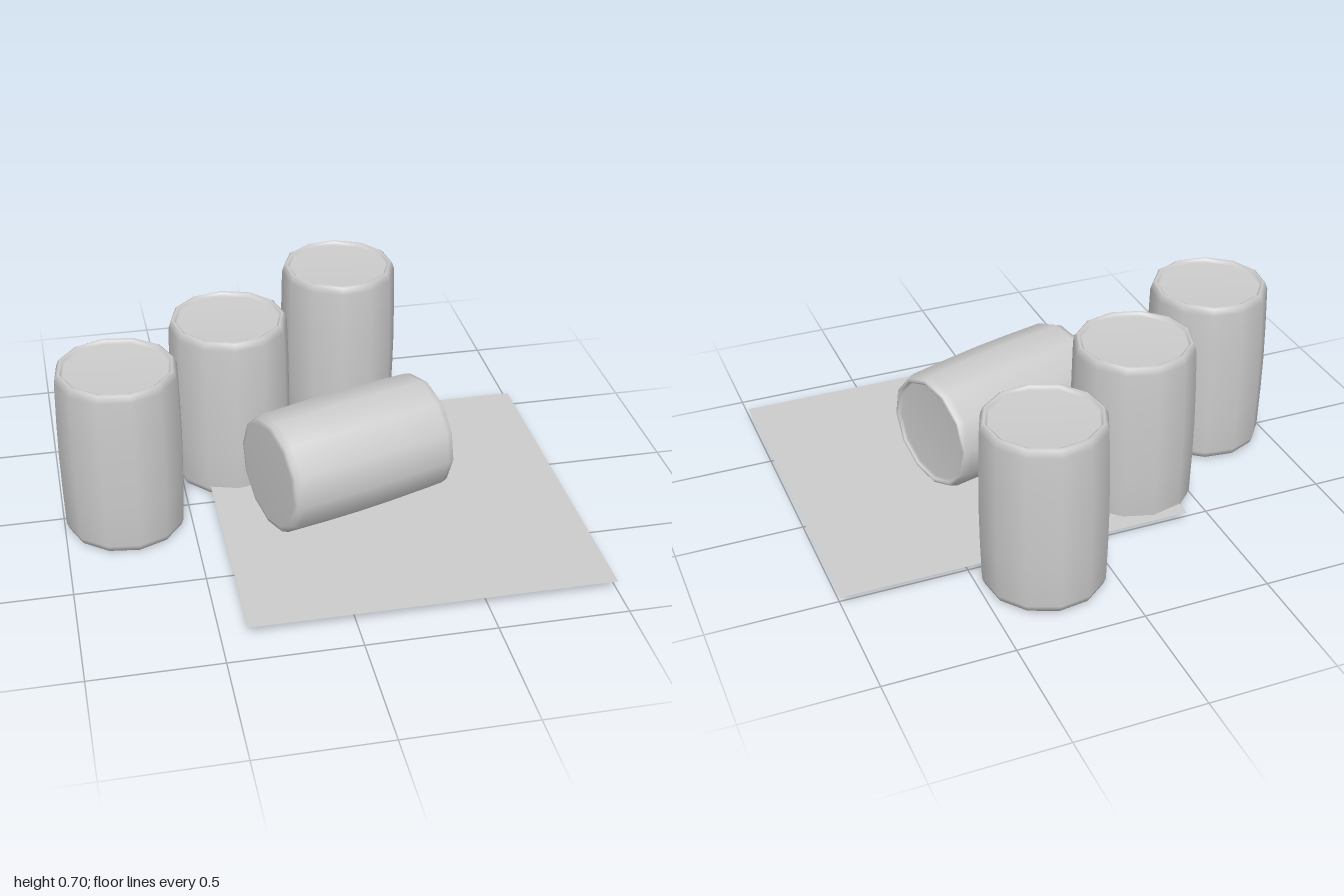
import * as THREE from 'three';

export function createModel() {
  const model = new THREE.Group();
  const grey = new THREE.MeshStandardMaterial({ color: 0xcccccc });
  const H = 0.705;

  // Twelve-sided barrel: rounded base, slight bulge, raised lip round a sunken lid
  const profile = [
    [0, 0], [0.205, 0], [0.227, 0.006], [0.237, 0.032],
    [0.242, 0.2], [0.244, 0.35], [0.242, 0.5], [0.237, 0.673],
    [0.228, 0.7], [0.219, H], [0.21, 0.7], [0.204, 0.688], [0, 0.688],
  ].map(([r, y]) => new THREE.Vector2(r, y));
  const barrelGeometry = new THREE.LatheGeometry(profile, 12);

  function barrel(name, spin) {
    const mesh = new THREE.Mesh(barrelGeometry, grey);
    mesh.name = name;
    mesh.rotation.y = spin;
    return mesh;
  }

  // Standing barrels: x, z, spin
  [[-0.757, 0.05, 0.13], [-0.282, -0.257, -0.03], [0.247, -0.637, -0.13]].forEach(([x, z, spin], i) => {
    const b = barrel(`standingBarrel${i + 1}`, spin);
    b.position.set(x, 0, z);
    model.add(b);
  });

  // Barrel lying on its side, lid towards +x
  const lying = new THREE.Group();
  lying.name = 'lyingBarrel';
  const body = barrel('lyingBarrelBody', 0.08);
  body.position.y = -H / 2;
  lying.add(body);
  lying.rotation.set(0, 0.307, -Math.PI / 2, 'YXZ');
  lying.position.set(0.12, 0.276, 0.155);
  model.add(lying);

  // Thin ground sheet
  const sheet = new THREE.Mesh(
    new THREE.PlaneGeometry(1.4, 1.4).rotateX(-Math.PI / 2),
    new THREE.MeshStandardMaterial({ color: 0xcccccc, side: THREE.DoubleSide })
  );
  sheet.name = 'groundSheet';
  sheet.position.set(0.3, 0.04, 0.17);
  model.add(sheet);

  return model;
}
